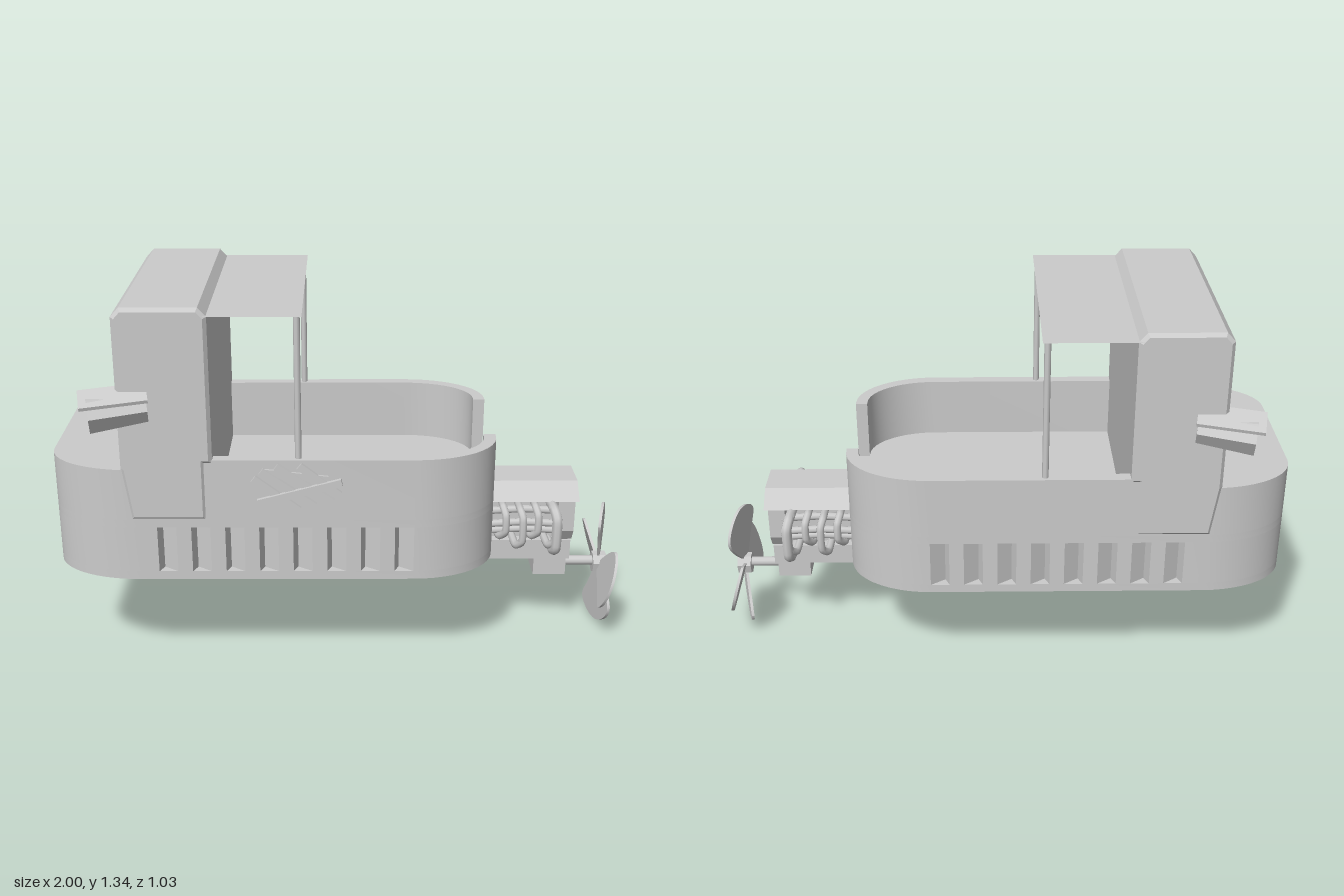
import * as THREE from 'three';
import { toCreasedNormals } from 'three/addons/utils/BufferGeometryUtils.js';

const grey = new THREE.MeshStandardMaterial({ color: 0xcccccc });
const greyDouble = new THREE.MeshStandardMaterial({ color: 0xcccccc, side: THREE.DoubleSide });

function add(parent, name, geometry, x = 0, y = 0, z = 0, material = grey) {
  const mesh = new THREE.Mesh(geometry, material);
  mesh.name = name;
  mesh.position.set(x, y, z);
  parent.add(mesh);
  return mesh;
}

// box given by its lower and upper corners
function block(parent, name, a, b) {
  return add(parent, name, new THREE.BoxGeometry(b[0] - a[0], b[1] - a[1], b[2] - a[2]),
    (a[0] + b[0]) / 2, (a[1] + b[1]) / 2, (a[2] + b[2]) / 2);
}

const shapeOf = (pts) => new THREE.Shape(pts.map(([x, y]) => new THREE.Vector2(x, y)));

// plan outline (x, z) raised from y0 to y1
function slab(parent, name, pts, y0, y1) {
  const g = new THREE.ExtrudeGeometry(shapeOf(pts), { depth: y1 - y0, bevelEnabled: false });
  g.rotateX(Math.PI / 2).translate(0, y1, 0);
  return add(parent, name, toCreasedNormals(g, 0.5));
}

const HALF = 0.42;
function arc(cx, cz, rx, rz, a0, a1, n = 12) {
  return Array.from({ length: n + 1 }, (_, i) => {
    const a = (a0 + (a1 - a0) * i / n) * Math.PI / 180;
    return [cx + rx * Math.cos(a), cz + rz * Math.sin(a)];
  });
}
const sternArc = (inset = 0) => arc(0.24, 0.2, 0.29 - inset, HALF - 0.2 - inset, 90, 0);
const bowArc = () => arc(-0.7, 0.22, 0.3, HALF - 0.22, 180, 90);

// half of the hull plan from bow centre to stern centre, optionally notched by vents
function halfHull(vents) {
  const pts = [];
  if (vents) {
    pts.push([-0.965, 0], [-0.965, 0.045], [-1, 0.045], [-1, 0.07], [-0.965, 0.07], [-0.965, 0.16], [-1, 0.16]);
  }
  pts.push(...bowArc());
  if (vents) {
    for (let i = 0; i < 8; i++) {
      const x = -0.63 + i * 0.115;
      pts.push([x, HALF], [x + 0.015, HALF - 0.035], [x + 0.065, HALF]);
    }
  }
  pts.push(...sternArc());
  return pts;
}
function hullPlan(vents) {
  const half = halfHull(vents);
  return [...half, ...half.map(([x, z]) => [x, -z]).reverse().filter(([, z]) => z !== 0)];
}

function buildHull(parent) {
  slab(parent, 'hullBottom', hullPlan(false), 0.38, 0.41);
  slab(parent, 'ventedHull', hullPlan(true), 0.41, 0.575);
  slab(parent, 'deck', hullPlan(false), 0.575, 0.602);
  const bow = bowArc();
  slab(parent, 'foredeck', [...bow, [-0.6, HALF], [-0.6, -HALF],
    ...bow.map(([x, z]) => [x, -z]).reverse()], 0.602, 0.785);
  // bulwarks leave a gap in the stern
  for (const s of [1, -1]) {
    const t = 0.042;
    const pts = [[-0.6, HALF], ...sternArc(), [0.53, 0.18], [0.53 - t, 0.18],
      ...sternArc(t).reverse(), [-0.6, HALF - t]];
    slab(parent, 'bulwark', pts.map(([x, z]) => [x, z * s]), 0.602, 0.82);
  }
  // single-faced sloping web in the stern gap
  const web = new THREE.BufferGeometry();
  web.setAttribute('position', new THREE.Float32BufferAttribute(
    [0.53, 0.603, 0.18, 0.5, 0.603, -0.18, 0.49, 0.82, -0.18], 3));
  web.computeVertexNormals();
  add(parent, 'sternWeb', web);
}

function buildCabin(parent) {
  const b = 0.012, half = 0.428;
  const profile = [[-0.703, 0.617], [-0.728, 0.79], [-0.728, 1.305], [-0.707, 1.328],
    [-0.468, 1.328], [-0.447, 1.305], [-0.447, 0.82], [-0.472, 0.82], [-0.472, 0.617]].reverse();
  const g = new THREE.ExtrudeGeometry(shapeOf(profile), {
    depth: 2 * (half - b), bevelSize: b, bevelThickness: b, bevelSegments: 1 });
  add(parent, 'cabin', g, 0, 0, b - half);
  block(parent, 'bulkhead', [-0.5, 0.6, -0.378], [-0.435, 0.85, 0.378]);
  const awning = new THREE.PlaneGeometry(0.32, 0.856).rotateX(-Math.PI / 2);
  add(parent, 'awning', awning, -0.293, 1.312, 0, greyDouble);
  for (const s of [1, -1]) {
    add(parent, 'awningPole', new THREE.CylinderGeometry(0.011, 0.011, 0.71, 8), -0.15, 0.955, s * 0.398);
    // hooded side lamp
    const lamp = new THREE.Group();
    lamp.name = 'sideLamp';
    add(lamp, 'lampBody', new THREE.CylinderGeometry(0.05, 0.066, 0.19, 6).toNonIndexed().rotateZ(-Math.PI / 2))
      .geometry.computeVertexNormals();
    const hood = add(lamp, 'lampHood', new THREE.BoxGeometry(0.22, 0.012, 0.1), -0.01, 0.052, s * 0.012);
    hood.rotation.x = s * 0.3;
    lamp.position.set(-0.735, 1.0, s * 0.428);
    lamp.rotation.set(0, s * 0.2, 0.06);
    parent.add(lamp);
  }
}

// crossed boards nailed over a patch on one side
function buildPatch(parent) {
  const boards = [[-0.145, 0.71, 0.29, 0.12 + 0.14, 0.436], [-0.225, 0.7, 0.19, -0.65, 0.426],
    [-0.185, 0.72, 0.22, -0.62, 0.426], [-0.13, 0.735, 0.23, -0.6, 0.426],
    [-0.08, 0.75, 0.17, -0.66, 0.426], [-0.16, 0.765, 0.22, -0.12, 0.422]];
  for (const [x, y, length, tilt, z] of boards) {
    add(parent, 'patchBoard', new THREE.BoxGeometry(length, 0.026, 0.014), x, y, z).rotation.z = tilt;
  }
}

function pipe(parent, name, pts, r) {
  const curve = new THREE.CatmullRomCurve3(pts.map((p) => new THREE.Vector3(...p)), false, 'catmullrom', 0.3);
  add(parent, name, new THREE.TubeGeometry(curve, 28, r, 8), 0, 0, 0, greyDouble);
}

function buildMotor(parent) {
  const section = (pts, x0, x1, name) => {
    const g = new THREE.ExtrudeGeometry(shapeOf(pts), { depth: x1 - x0, bevelEnabled: false });
    add(parent, name, g.rotateY(Math.PI / 2), x0, 0, 0);
  };
  const hood = [[-0.138, 0.545], [0.138, 0.545], [0.072, 0.6], [-0.072, 0.6]];
  section(hood, 0.5, 0.85, 'motorHood');
  section([[-0.11, 0.385], [0.11, 0.385], [0.138, 0.43], [0.138, 0.545], [-0.138, 0.545], [-0.138, 0.43]],
    0.775, 0.835, 'motorEndPlate');
  block(parent, 'motorCore', [0.5, 0.38, -0.085], [0.78, 0.55, 0.085]);
  block(parent, 'motorBase', [0.43, 0.31, -0.12], [0.83, 0.385, 0.12]);
  block(parent, 'gearFoot', [0.71, 0.215, -0.06], [0.83, 0.312, 0.06]);

  for (const s of [1, -1]) {
    // looping exhaust pipes
    for (let i = 0; i < 4; i++) {
      const x = 0.575 + i * 0.058, out = i % 2 ? 0.2 : 0.175, low = i % 2 ? 0.39 : 0.415;
      pipe(parent, 'exhaustPipe', [[x, 0.525, s * 0.08], [x, 0.53, s * (out - 0.03)], [x + 0.008, 0.505, s * out],
        [x + 0.008, low + 0.03, s * out], [x - 0.01, low, s * (out - 0.03)], [x - 0.015, low, s * 0.08]], 0.014);
    }
    // lengthwise manifolds
    for (const [y, z] of [[0.43, 0.13], [0.465, 0.15], [0.505, 0.125]]) {
      pipe(parent, 'manifold', [[0.51, y, s * z], [0.65, y + 0.008, s * z], [0.79, y, s * z]], 0.014);
    }
    pipe(parent, 'mainPipe', [[0.75, 0.53, s * 0.1], [0.755, 0.53, s * 0.18], [0.762, 0.5, s * 0.21],
      [0.762, 0.4, s * 0.21], [0.757, 0.375, s * 0.18], [0.75, 0.375, s * 0.09]], 0.018);
  }

  add(parent, 'propShaft', new THREE.CylinderGeometry(0.018, 0.018, 0.15, 10).rotateZ(Math.PI / 2), 0.89, 0.243, 0);
}

function buildPropeller(parent) {
  const prop = new THREE.Group();
  prop.name = 'propeller';
  const hub = new THREE.CylinderGeometry(0.04, 0.04, 0.05, 7).rotateX(Math.PI / 2);
  add(prop, 'propellerHub', toCreasedNormals(hub, 0.5));
  const outline = new THREE.SplineCurve([[-0.015, 0.025], [-0.055, 0.11], [-0.092, 0.185], [-0.05, 0.228],
    [0.02, 0.236], [0.085, 0.195], [0.107, 0.14], [0.07, 0.08], [0.015, 0.025]].map((p) => new THREE.Vector2(...p)));
  const g = new THREE.ExtrudeGeometry(new THREE.Shape(outline.getPoints(32)), { depth: 0.01, bevelEnabled: false });
  // pitch each blade across its width
  const p = g.attributes.position;
  for (let i = 0; i < p.count; i++) p.setZ(i, p.getZ(i) - 0.005 + p.getX(i) * 0.28);
  const blade = toCreasedNormals(g, 0.5);
  for (let i = 0; i < 4; i++) add(prop, 'propellerBlade', blade).rotation.z = i * Math.PI / 2;
  prop.rotation.y = Math.PI / 2;
  prop.position.set(0.965, 0.237, 0);
  parent.add(prop);
}

export function createModel() {
  const model = new THREE.Group();
  model.name = 'boat';
  const body = new THREE.Group();
  body.name = 'body';
  body.position.z = -0.007;
  model.add(body);
  buildHull(body);
  buildCabin(body);
  buildPatch(body);
  buildMotor(model);
  buildPropeller(model);
  return model;
}
